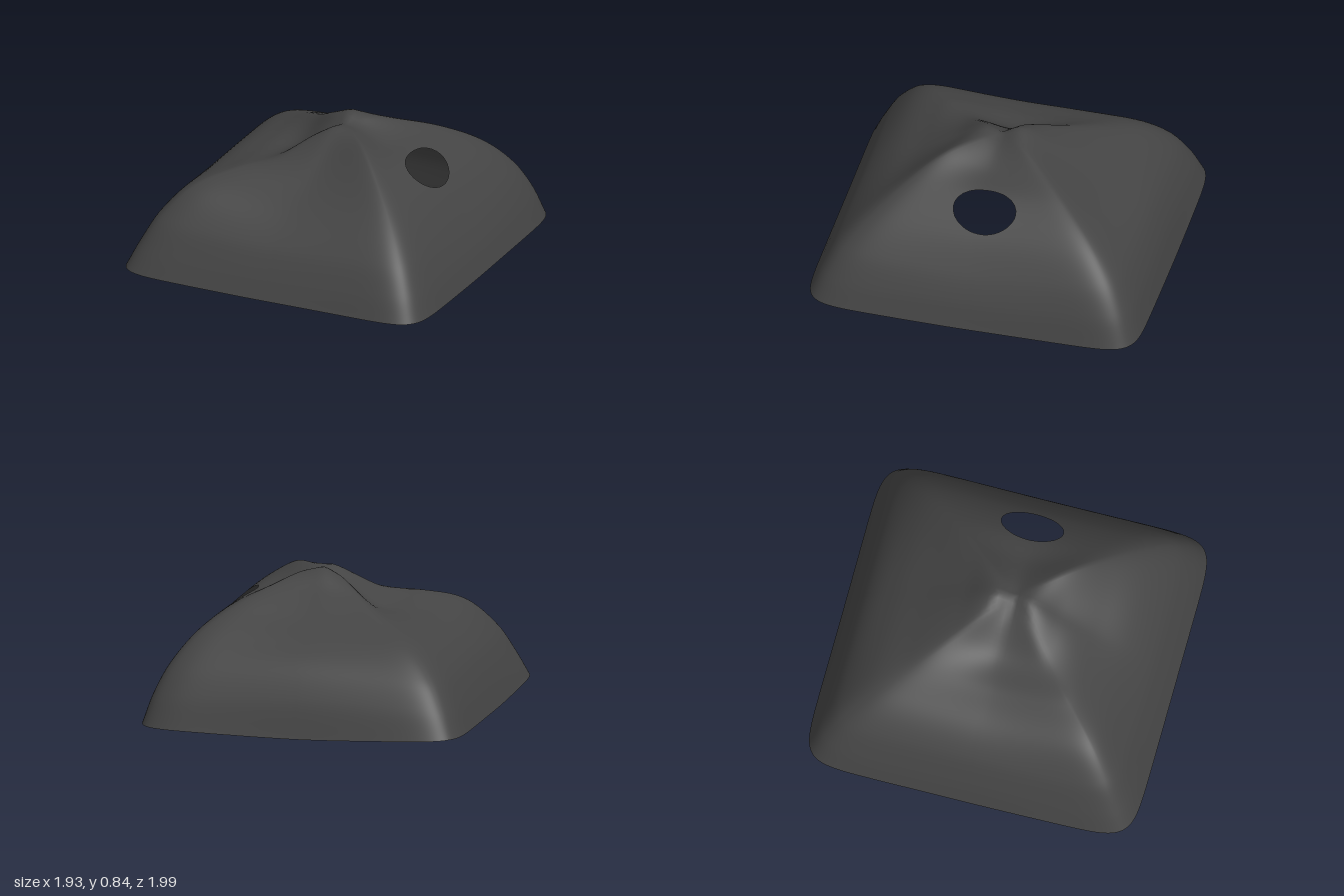
import * as THREE from 'three';

// Heights from the crown out to the rim, along eight directions (angle order from +x towards +z).
const STEPS = [0, 0.12, 0.3, 0.5, 0.7, 0.85, 0.94, 1];
const PROFILES = [
  [0.80, 0.78, 0.715, 0.655, 0.51, 0.325, 0.17, 0.02],  // +x side, with the opening
  [0.80, 0.81, 0.785, 0.67, 0.51, 0.34, 0.18, 0.04],    // ridge +x +z
  [0.80, 0.81, 0.70, 0.58, 0.465, 0.325, 0.175, 0.045], // front
  [0.80, 0.76, 0.65, 0.61, 0.53, 0.36, 0.19, 0.06],     // ridge -x +z
  [0.80, 0.735, 0.61, 0.565, 0.49, 0.35, 0.185, 0.03],  // -x side
  [0.80, 0.79, 0.69, 0.59, 0.49, 0.34, 0.18, 0.03],     // ridge -x -z
  [0.80, 0.837, 0.73, 0.615, 0.505, 0.38, 0.21, 0.0],   // back
  [0.80, 0.815, 0.755, 0.665, 0.53, 0.36, 0.19, 0.02],  // ridge +x -z
];

// Smooth curve through one profile.
function along(p, t) {
  let k = 0;
  while (k < STEPS.length - 2 && t > STEPS[k + 1]) k++;
  const last = STEPS.length - 1;
  const slope = (i) => {
    const a = Math.max(i - 1, 0), b = Math.min(i + 1, last);
    return (p[b] - p[a]) / (STEPS[b] - STEPS[a]);
  };
  const w = STEPS[k + 1] - STEPS[k], s = (t - STEPS[k]) / w, s2 = s * s, s3 = s2 * s;
  return p[k] * (2 * s3 - 3 * s2 + 1) + p[k + 1] * (3 * s2 - 2 * s3)
    + w * (slope(k) * (s3 - 2 * s2 + s) + slope(k + 1) * (s3 - s2));
}

// Point of the canopy for square coordinates a, b in -1..1.
function canopyPoint(a, b) {
  const t = Math.max(Math.abs(a), Math.abs(b));
  if (t < 1e-6) return [0.06, 0.8, 0.02];
  const turn = ((Math.atan2(b, a) / (Math.PI / 4)) + 8) % 8;
  const d = Math.floor(turn) % 8, f = turn - Math.floor(turn);
  // the ridges (odd directions) fade quickly into the broad faces
  const mix = d % 2 ? 1 - Math.pow(1 - f, 1.7) : Math.pow(f, 1.7);
  const y = THREE.MathUtils.lerp(along(PROFILES[d], t), along(PROFILES[(d + 1) % 8], t), mix);
  // superellipse rounds the corners of the square outline
  const k = Math.pow(Math.pow(Math.abs(a) / t, 11) + Math.pow(Math.abs(b) / t, 11), -1 / 11);
  return [0.965 * a * k + 0.06 * (1 - t), Math.max(y, 0), 0.995 * b * k + 0.02 * (1 - t)];
}

function canopyGeometry(n = 96) {
  const hole = { a: 0.575, b: -0.015, ra: 0.12, rb: 0.187 };
  const spread = (i) => {
    const s = (2 * i) / n - 1;
    return Math.sign(s) * (1 - Math.pow(1 - Math.abs(s), 1.4));
  };
  const positions = [], inside = [], index = [];
  for (let i = 0; i <= n; i++) {
    for (let j = 0; j <= n; j++) {
      let a = spread(i), b = spread(j);
      // vertices within the opening move out to its edge
      const u = (a - hole.a) / hole.ra, v = (b - hole.b) / hole.rb, q = Math.hypot(u, v);
      inside.push(q < 1);
      if (q < 1 && q > 0) {
        a = hole.a + (u / q) * hole.ra;
        b = hole.b + (v / q) * hole.rb;
      }
      positions.push(...canopyPoint(a, b));
    }
  }
  const add = (...tri) => { if (!tri.every((v) => inside[v])) index.push(...tri); };
  for (let i = 0; i < n; i++) {
    for (let j = 0; j < n; j++) {
      const p = i * (n + 1) + j, q = p + 1, r = p + n + 1, s = r + 1;
      // diagonals follow the four ridges
      if ((i < n / 2) === (j < n / 2)) { add(p, q, s); add(p, s, r); }
      else { add(p, q, r); add(q, s, r); }
    }
  }
  const g = new THREE.BufferGeometry();
  g.setAttribute('position', new THREE.Float32BufferAttribute(positions, 3));
  g.setIndex(index);
  g.computeVertexNormals();
  return g;
}

export function createModel() {
  const group = new THREE.Group();
  group.name = 'canopyShelter';
  const cloth = new THREE.MeshStandardMaterial({ color: 0x444444, side: THREE.DoubleSide });
  const canopy = new THREE.Mesh(canopyGeometry(), cloth);
  canopy.name = 'canopy';
  group.add(canopy);
  return group;
}
